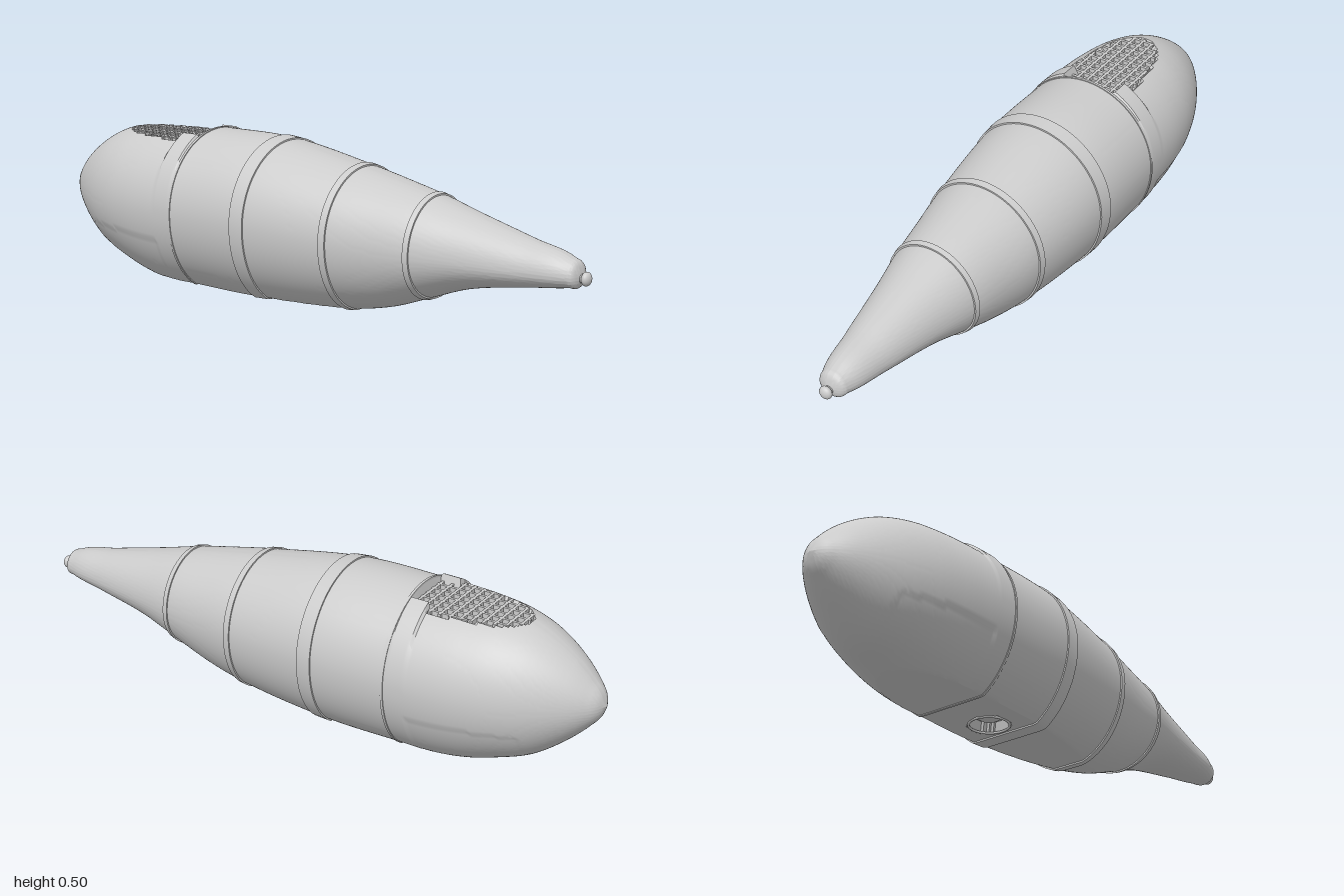
import * as THREE from 'three';
import { toCreasedNormals } from 'three/addons/utils/BufferGeometryUtils.js';

// Body stations along x: [x, top, widest height, belly before flattening, half width]
const STATIONS = [
  [-1, 0.26, 0.26, 0.26, 0], [-0.985, 0.298, 0.258, 0.222, 0.036], [-0.96, 0.328, 0.256, 0.19, 0.066],
  [-0.9, 0.385, 0.253, 0.13, 0.116], [-0.8, 0.448, 0.25, 0.055, 0.175], [-0.7, 0.48, 0.25, 0.015, 0.212],
  [-0.6, 0.492, 0.25, -0.015, 0.232], [-0.5, 0.497, 0.25, -0.03, 0.241], [-0.39, 0.499, 0.25, -0.03, 0.244],
  [-0.13, 0.497, 0.25, -0.03, 0.242], [0.2, 0.445, 0.235, 0, 0.205], [0.33, 0.42, 0.23, 0.028, 0.181],
  [0.46, 0.392, 0.228, 0.075, 0.157], [0.6, 0.355, 0.225, 0.125, 0.124], [0.8, 0.305, 0.22, 0.162, 0.083],
  [0.94, 0.27, 0.218, 0.182, 0.05], [0.965, 0.252, 0.216, 0.188, 0.034], [0.975, 0.215, 0.215, 0.215, 0],
];
const FLOOR = 0.006;
const DECK = 0.468;
const FRAME_X = -0.46, DECK_END = -0.39, FRAME_Z = 0.09;
const PORT = { x: -0.21, r: 0.062 };

const spline = new THREE.CubicInterpolant(
  STATIONS.map((s) => s[0]), STATIONS.flatMap((s) => s.slice(1)), 4, new Float32Array(4));
const sectionAt = (x) => {
  const [top, mid, belly, half] = spline.evaluate(x);
  return { top, mid, belly, half: Math.max(half, 0) };
};

const material = new THREE.MeshStandardMaterial({ color: 0xcccccc, side: THREE.DoubleSide });

function addMesh(parent, name, geometry, x = 0, y = 0, z = 0) {
  const mesh = new THREE.Mesh(geometry, material);
  mesh.name = name;
  mesh.position.set(x, y, z);
  parent.add(mesh);
  return mesh;
}

// Skins the body sections; each ring is [x, outward offset], and shape() may alter a point
function loft(rings, sides, shape) {
  const positions = [], index = [];
  rings.forEach(([x, offset], i) => {
    const s = sectionAt(x);
    for (let j = 0; j <= sides; j++) {
      const a = (j / sides) * Math.PI * 2, sin = Math.sin(a);
      const reach = sin > 0 ? s.top - s.mid : s.mid - s.belly;
      const p = new THREE.Vector3(x, s.mid + sin * (reach + offset), Math.cos(a) * (s.half + offset));
      p.y = Math.max(p.y, FLOOR - offset);
      if (shape) shape(p, s);
      positions.push(p.x, p.y, p.z);
      if (i && j) {
        const d = i * (sides + 1) + j, c = d - 1, b = d - sides - 1, e = b - 1;
        index.push(e, c, b, c, d, b);
      }
    }
  });
  const geometry = new THREE.BufferGeometry();
  geometry.setAttribute('position', new THREE.Float32BufferAttribute(positions, 3));
  geometry.setIndex(index);
  return toCreasedNormals(geometry, 0.5);
}

// Cuts the flat top deck, the raised rear frame, the chin panel step and the belly port
function shapeHull(p, s) {
  const inFrame = p.x > FRAME_X && p.x < DECK_END;
  if (p.x < DECK_END && p.y > DECK && (!inFrame || Math.abs(p.z) < FRAME_Z)) {
    p.y = DECK - 0.014;
  } else if (inFrame && p.y > s.mid) {
    const lift = 1 + 0.045 * (p.y - s.mid) / (s.top - s.mid);
    p.y = s.mid + (p.y - s.mid) * lift;
    p.z *= 1 + (lift - 1) * 0.5;
  }
  if (p.x < FRAME_X && p.x > -0.8 && p.y < 0.165) p.z *= 0.985;
  const d = Math.hypot(p.x - PORT.x, p.z);
  if (p.y < 0.05 && d < PORT.r) p.y += 0.035;
}

function hullRings() {
  const rings = [];
  for (let i = 1; i < STATIONS.length; i++) {
    const a = STATIONS[i - 1][0], b = STATIONS[i][0];
    const steps = Math.max(4, Math.ceil((b - a) / (b < 0 ? 0.0075 : 0.02)));
    for (let k = 0; k < steps; k++) rings.push([a + ((b - a) * k) / steps, 0]);
  }
  rings.push([0.975, 0]);
  return rings;
}

// Half width of the deck opening at x
function deckHalf(x) {
  const s = sectionAt(x), k = (DECK - s.mid) / (s.top - s.mid);
  const w = k < 1 ? s.half * Math.sqrt(1 - k * k) : 0;
  return x > FRAME_X ? Math.min(w, FRAME_Z) : w;
}

function addGrille(parent) {
  const pitch = 0.033, bar = 0.009, height = 0.014;
  // Cross bars
  for (let x = DECK_END - 0.012; x > -0.74; x -= pitch) {
    const w = deckHalf(x);
    if (w > 0.01) addMesh(parent, 'grilleCrossBar', new THREE.BoxGeometry(bar, height, w * 2), x, DECK - height / 2, 0);
  }
  // Lengthwise bars
  for (let k = -3; k <= 3; k++) {
    const z = k * pitch;
    const end = Math.abs(z) < FRAME_Z ? DECK_END : FRAME_X;
    let start = -0.76;
    while (start < end && deckHalf(start) < Math.abs(z) + 0.004) start += 0.004;
    if (start < end - 0.01) {
      addMesh(parent, 'grilleLongBar', new THREE.BoxGeometry(end - start, height, bar), (start + end) / 2, DECK - height / 2, z);
    }
  }
}

export function createModel() {
  const model = new THREE.Group();
  model.name = 'body';

  addMesh(model, 'hull', loft(hullRings(), 144, shapeHull));

  // Raised joint bands: [start, end, height]
  const bands = [[-0.392, -0.384, 0.003], [-0.137, -0.088, 0.005], [0.183, 0.205, 0.005], [0.458, 0.475, 0.005]];
  for (const [a, b, h] of bands) {
    addMesh(model, 'jointBand', loft([[a, -0.003], [a, h], [b, h], [b, -0.003]], 72));
  }

  const grille = new THREE.Group();
  grille.name = 'topGrille';
  addGrille(grille);
  model.add(grille);

  // Belly port rim and the shallow dome inside it
  const rim = addMesh(model, 'bellyPortRim', new THREE.TorusGeometry(PORT.r, 0.004, 8, 40), PORT.x, FLOOR, 0);
  rim.rotation.x = Math.PI / 2;
  const dome = addMesh(model, 'bellyPortDome', new THREE.SphereGeometry(0.04, 24, 16), PORT.x, 0.042, 0);
  dome.scale.y = 0.6;

  // Tail tip
  const neck = addMesh(model, 'tailNeck', new THREE.CylinderGeometry(0.014, 0.014, 0.03, 20), 0.975, 0.214, 0);
  neck.rotation.z = Math.PI / 2;
  const tip = addMesh(model, 'tailTip', new THREE.SphereGeometry(0.021, 20, 14), 0.986, 0.214, 0);
  tip.scale.x = 0.67;

  return model;
}
